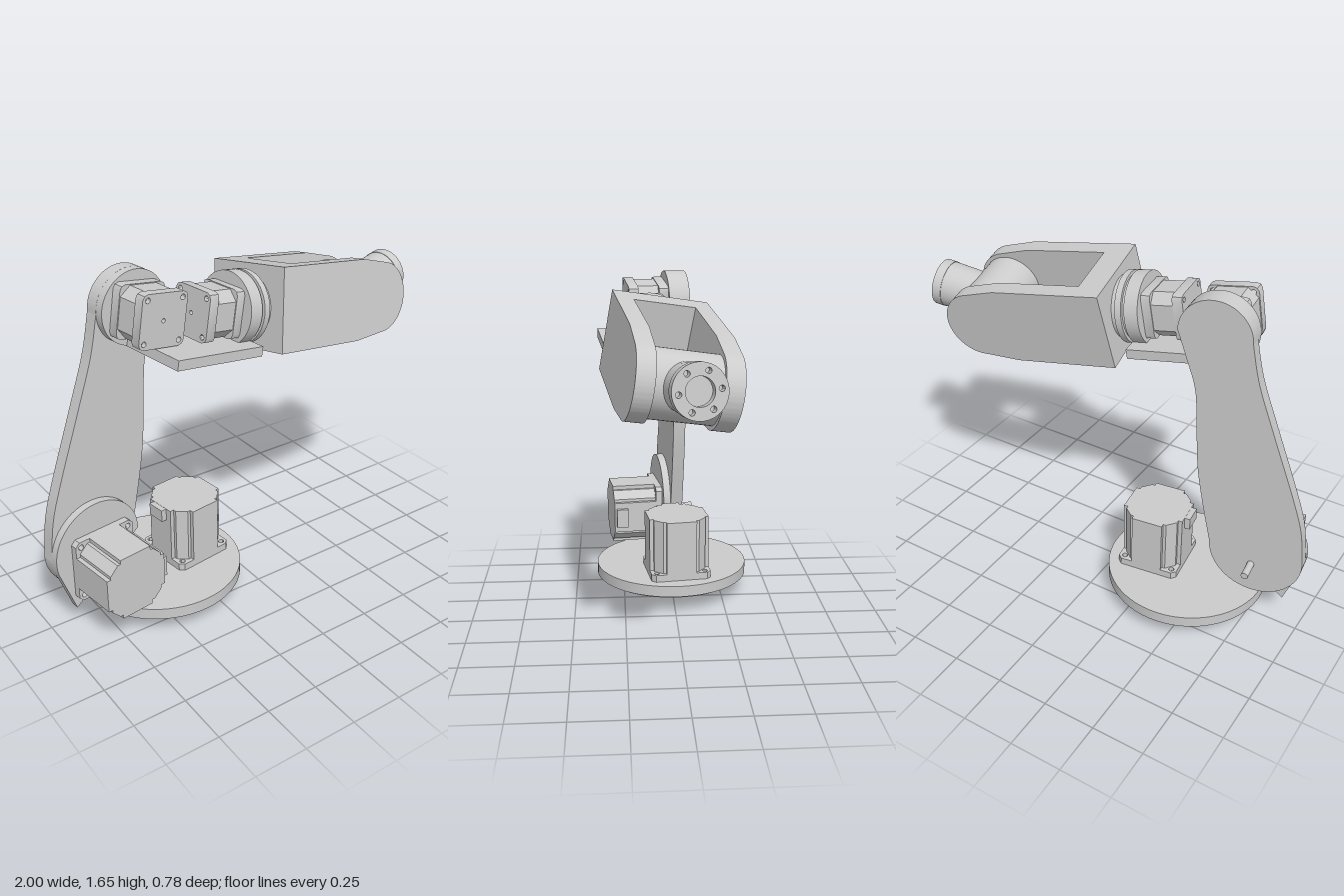
import * as THREE from 'three';
import { toCreasedNormals } from 'three/addons/utils/BufferGeometryUtils.js';

const mat = new THREE.MeshStandardMaterial({ color: 0xcccccc });
const rad = THREE.MathUtils.degToRad;
const V = (x, y) => new THREE.Vector2(x, y);

function add(parent, name, geo, x = 0, y = 0, z = 0) {
  const m = new THREE.Mesh(geo, mat);
  m.name = name;
  m.position.set(x, y, z);
  parent.add(m);
  return m;
}
function group(parent, name, x, y, z) {
  const g = new THREE.Group();
  g.name = name;
  g.position.set(x, y, z);
  parent.add(g);
  return g;
}
const extrude = (shape, depth) => toCreasedNormals(
  new THREE.ExtrudeGeometry(shape, { depth, bevelEnabled: false, curveSegments: 32 }), 0.5);
const cyl = (r, len, axis = 'y', r2 = r) => {
  const g = new THREE.CylinderGeometry(r, r2, len, 48);
  if (axis === 'x') g.rotateZ(-Math.PI / 2);
  if (axis === 'z') g.rotateX(Math.PI / 2);
  return g;
};
function hole(shape, x, y, r) {
  shape.holes.push(new THREE.Path().absarc(x, y, r, 0, Math.PI * 2, true));
}
// Square outline whose four corners follow the given (x, y) insets
function square(h, insets) {
  const pts = [];
  for (let k = 0; k < 4; k++)
    for (const [ix, iy] of insets)
      pts.push(V(h - ix, h - iy).rotateAround(V(0, 0), k * Math.PI / 2));
  return new THREE.Shape(pts);
}
function cornerHoles(shape, d, r) {
  for (const sx of [-1, 1]) for (const sy of [-1, 1]) hole(shape, sx * d, sy * d, r);
}

// Large motor: flange at z = 0, body towards +z, shaft towards -z
function largeMotor(parent, name, size, len, shaft) {
  const g = group(parent, name, 0, 0, 0), h = size / 2;
  const flange = square(h, [[0, 0.02], [0.02, 0]]);
  cornerHoles(flange, h - 0.028, 0.013);
  add(g, 'motorFlange', extrude(flange, 0.035));
  const body = square(h, [[0, 0.075], [0.02, 0.075], [0.02, 0.06], [0.06, 0.02], [0.075, 0.02], [0.075, 0]]);
  add(g, 'motorBody', extrude(body, len - 0.03), 0, 0, 0.03);
  add(g, 'motorShaft', cyl(0.017, shaft, 'z'), 0, 0, -shaft / 2);
  return g;
}
// Small motor: two chamfered end caps around a more deeply chamfered core
function smallMotor(parent, name, size, len) {
  const g = group(parent, name, 0, 0, 0), h = size / 2, cap = len * 0.24;
  const c = (k) => [[0, k], [k * 0.3, k * 0.3], [k, 0]];
  const end = square(h, c(0.025));
  cornerHoles(end, h - 0.026, 0.012);
  hole(end, 0, 0, 0.022);
  add(g, 'frontCap', extrude(square(h, c(0.025)), cap));
  add(g, 'motorCore', extrude(square(h - 0.004, [[0, 0.045], [0.045, 0]]), len - cap), 0, 0, cap / 2);
  add(g, 'rearCap', extrude(end, cap), 0, 0, len - cap);
  const boss = new THREE.Shape().absarc(0, 0, 0.022, 0, Math.PI * 2);
  hole(boss, 0, 0, 0.009);
  add(g, 'rearBearing', extrude(boss, 0.02), 0, 0, len - 0.02);
  return g;
}

export function createModel() {
  const root = new THREE.Group();
  root.name = 'robotArm';
  const arm = group(root, 'turnedArm', 0, 0, 0);
  arm.rotation.y = rad(7.3);

  // Base turntable and its vertical motor
  const base = group(arm, 'base', -0.407, 0, -0.052);
  add(base, 'turntable', new THREE.CylinderGeometry(0.388, 0.388, 0.055, 64), 0, 0.1175, 0);
  add(base, 'turntableRim', new THREE.CylinderGeometry(0.36, 0.36, 0.02, 64), 0, 0.085, 0);
  const baseMotor = largeMotor(arm, 'baseMotor', 0.302, 0.305, 0.145);
  baseMotor.position.set(-0.246, 0.145, -0.049);
  baseMotor.rotation.x = -Math.PI / 2;
  add(baseMotor, 'connector', new THREE.BoxGeometry(0.04, 0.09, 0.06), -0.158, 0, 0.274);

  // Shoulder bracket: round top running down to the turntable
  const sx = -0.763, sy = 0.397, sr = 0.224;
  const bracket = new THREE.Shape();
  bracket.moveTo(-0.54, 0.12);
  bracket.absarc(sx, sy, sr, 0, Math.PI * 1.09, false);
  bracket.lineTo(-0.9, 0.12);
  add(arm, 'shoulderBracket', extrude(bracket, 0.037), 0, 0, -0.075);
  const shoulderMotor = largeMotor(arm, 'shoulderMotor', 0.312, 0.26, 0.19);
  shoulderMotor.position.set(-0.748, 0.328, -0.04);
  add(shoulderMotor, 'connector', new THREE.BoxGeometry(0.04, 0.1, 0.06), 0.158, 0, 0.22);

  // Lower arm: two round ends joined by curved edges
  const ex = -0.505, ey = 1.48, er = 0.166;
  const link = new THREE.Shape();
  link.moveTo(sx + sr, sy);
  link.absarc(sx, sy, sr, 0, Math.PI, true);
  link.splineThru([V(-0.965, 0.58), V(-0.914, 0.75), V(-0.795, 1.07), V(-0.712, 1.3), V(ex - er, ey)]);
  link.absarc(ex, ey, er, Math.PI, 0, true);
  link.splineThru([V(-0.385, 1.35), V(-0.432, 1.2), V(-0.447, 1), V(-0.462, 0.8), V(-0.492, 0.62), V(sx + sr, sy)]);
  add(arm, 'lowerArm', extrude(link, 0.062), 0, 0, -0.137);

  // Forearm, pitched down about the elbow
  const fore = group(arm, 'forearm', ex, ey, 0);
  fore.rotation.z = rad(-9.3);
  add(fore, 'elbowDisc', cyl(er, 0.04, 'z'), 0, 0, -0.055);
  add(fore, 'forearmPlate', new THREE.BoxGeometry(0.475, 0.045, 0.376), 0.2175, -0.146, 0.113);
  const elbowMotor = smallMotor(fore, 'elbowMotor', 0.235, 0.197);
  elbowMotor.position.z = -0.036;
  const wristMotor = smallMotor(fore, 'wristMotor', 0.22, 0.2);
  wristMotor.position.set(0.39, 0, 0.11);
  wristMotor.rotation.y = -Math.PI / 2;

  // Rolling wrist: stacked flanges and a two-pronged fork
  const wrist = group(fore, 'wrist', 0, 0, 0.11);
  wrist.rotation.x = rad(-9);
  for (const [r, a0, a1] of [[0.165, 0.385, 0.45], [0.15, 0.45, 0.465], [0.165, 0.465, 0.495], [0.145, 0.495, 0.525]])
    add(wrist, 'wristFlange', cyl(r, a1 - a0, 'x'), (a0 + a1) / 2, 0, 0);
  const H = 0.1875;
  add(wrist, 'forkBase', new THREE.BoxGeometry(0.125, H * 2, 0.28), 0.5825, 0, 0);
  const prong = new THREE.Shape([V(0.52, H), V(0.52, -H), V(1.02, -H)]);
  prong.absarc(1.186, 0, 0.165, rad(-78), rad(78), false);
  prong.lineTo(1.05, H);
  for (const z of [-0.22, 0.14]) add(wrist, 'forkProng', extrude(prong, 0.08), 0, 0, z);

  // Tool head on the cross pivot
  const tool = group(wrist, 'toolHead', 1.19, 0, 0);
  tool.rotation.z = rad(16.5);
  add(tool, 'toolPivot', cyl(0.145, 0.284, 'z'));
  add(tool, 'toolTube', cyl(0.109, 0.265, 'x', 0.1), 0.1325, 0, 0);
  const face = new THREE.Shape().absarc(0, 0, 0.111, 0, Math.PI * 2);
  hole(face, 0, 0, 0.058);
  for (let i = 0; i < 6; i++) {
    const t = (i + 0.25) * Math.PI / 3;
    hole(face, 0.084 * Math.cos(t), 0.084 * Math.sin(t), 0.012);
  }
  add(tool, 'toolFlange', extrude(face, 0.045).rotateY(Math.PI / 2), 0.26, 0, 0);

  return root;
}
